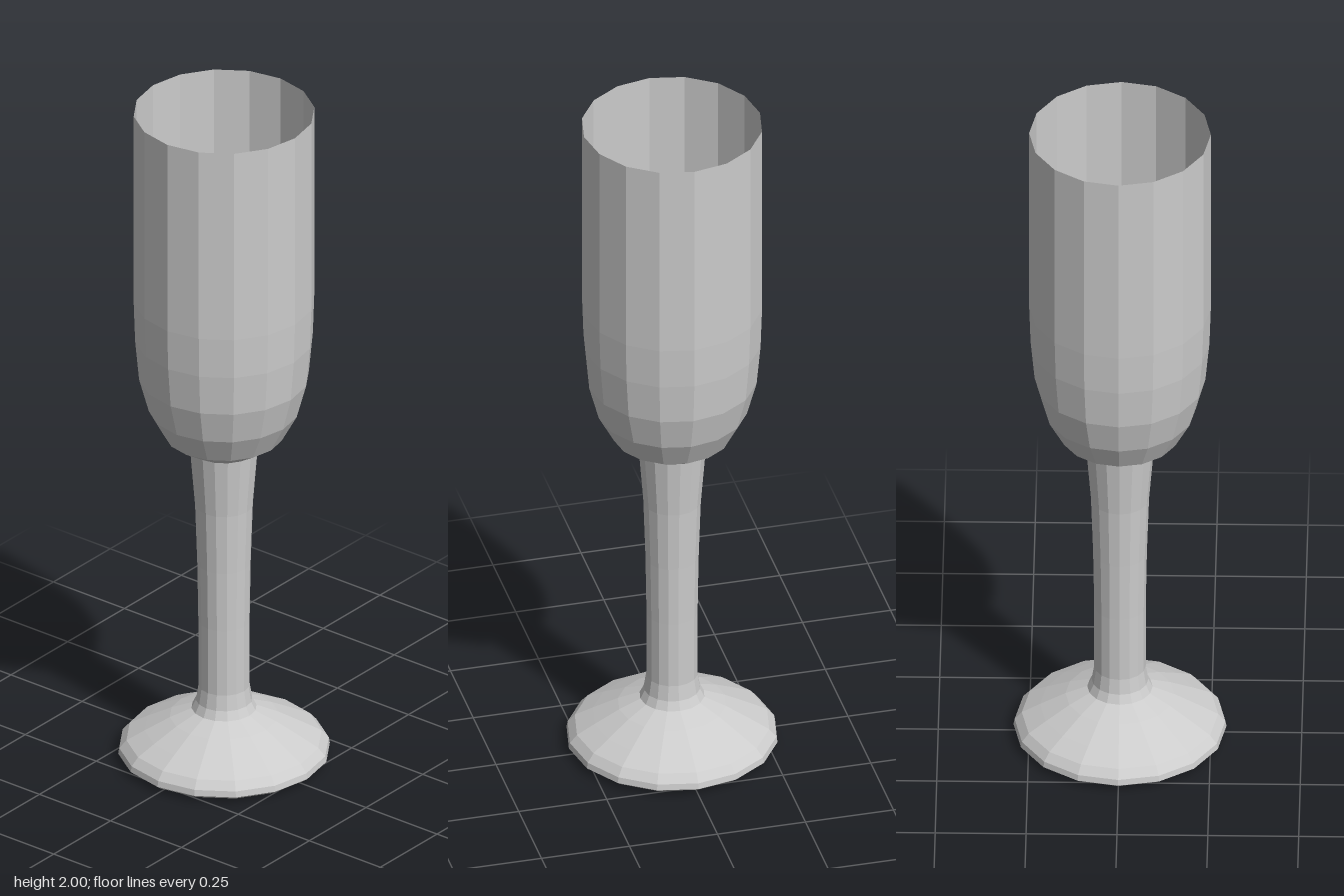
import * as THREE from 'three';

const SIDES = 16;

export function createModel() {
  const glass = new THREE.MeshStandardMaterial({ color: 0xcccccc, flatShading: true, side: THREE.DoubleSide });
  glass.name = 'pale grey glass';

  const group = new THREE.Group();
  group.name = 'fluteGlass';

  // Turns a profile of [radius, height] pairs, listed from bottom to top
  const turn = (name, profile) => {
    const points = profile.map(([r, y]) => new THREE.Vector2(r, y));
    const mesh = new THREE.Mesh(new THREE.LatheGeometry(points, SIDES), glass);
    mesh.name = name;
    group.add(mesh);
  };

  // Wide foot with a thin rolled edge and a closed underside
  turn('foot', [
    [0, 0], [0.18, 0.005], [0.28, 0.01], [0.293, 0.02], [0.29, 0.037],
    [0.27, 0.06], [0.22, 0.088], [0.15, 0.125], [0.09, 0.15],
  ]);

  // Slender stem, flared at both ends
  turn('stem', [
    [0.09, 0.15], [0.078, 0.175], [0.071, 0.22], [0.071, 0.42],
    [0.074, 0.6], [0.08, 0.78], [0.094, 0.955],
  ]);

  // Tall open bowl with its flat floor
  turn('bowl', [
    [0.094, 0.955], [0.165, 1.0], [0.208, 1.08], [0.235, 1.18],
    [0.246, 1.3], [0.25, 1.42], [0.25, 2],
  ]);
  const floor = new THREE.Mesh(new THREE.CircleGeometry(0.094, SIDES), glass);
  floor.name = 'bowlFloor';
  floor.rotation.x = -Math.PI / 2;
  floor.position.y = 0.955;
  group.add(floor);

  return group;
}
